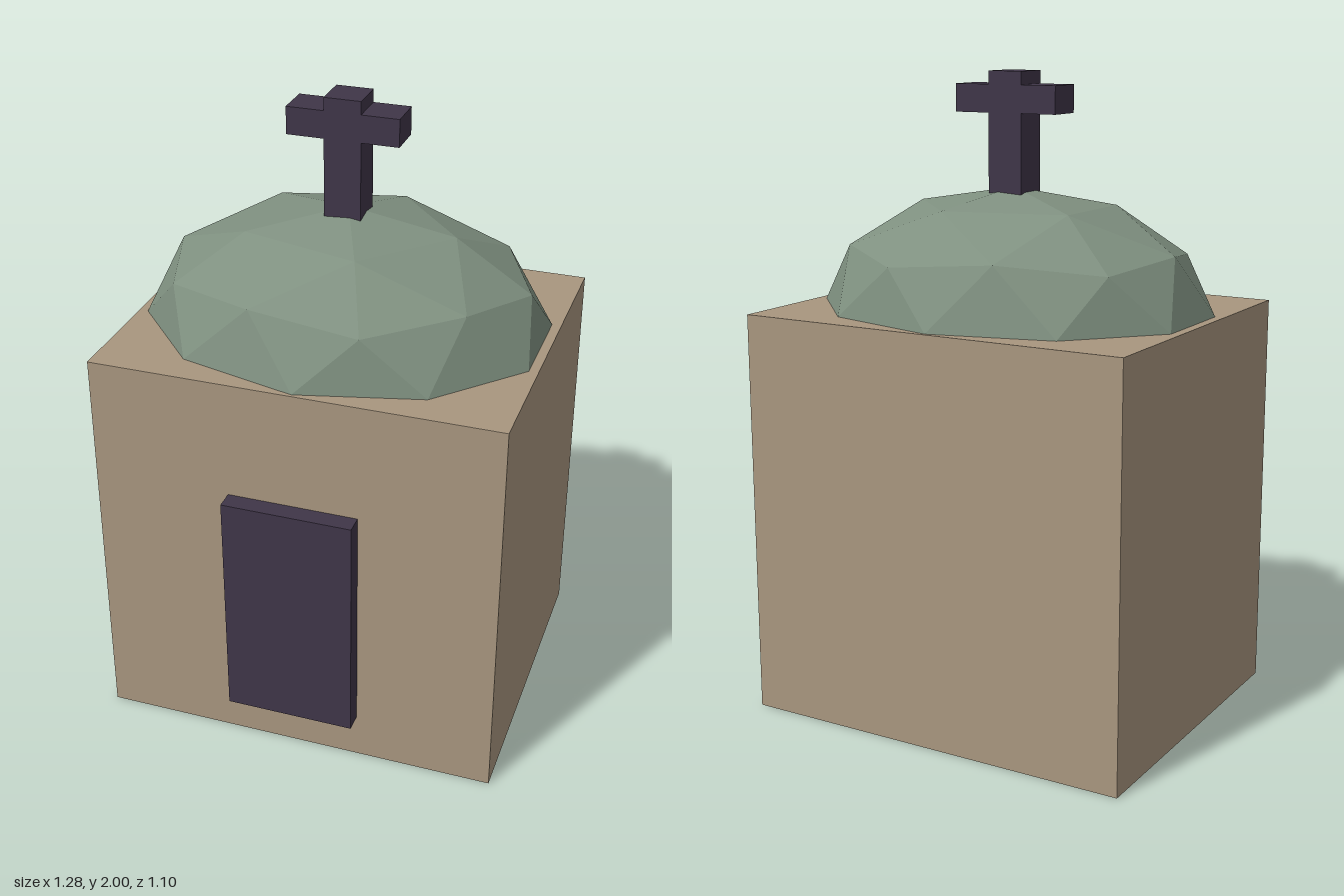
import * as THREE from 'three';

const stone = new THREE.MeshStandardMaterial({ color: 0xa8967f, flatShading: true });
const copper = new THREE.MeshStandardMaterial({ color: 0x7f9080, flatShading: true });
const dark = new THREE.MeshStandardMaterial({ color: 0x3f3548, flatShading: true });

const CENTER_Z = -0.03;
const WALL_TOP = 1.275;

function add(group, name, geometry, material, x, y, z) {
  const mesh = new THREE.Mesh(geometry, material);
  mesh.name = name;
  mesh.position.set(x, y, z);
  group.add(mesh);
  return mesh;
}

// Upper half of a faceted sphere with one vertex pointing straight up
function halfIcosphere(rx, ry, rz) {
  const sphere = new THREE.IcosahedronGeometry(1, 1);
  sphere.rotateZ(-Math.atan2(1, (1 + Math.sqrt(5)) / 2));
  const p = sphere.getAttribute('position');
  const kept = [];
  for (let i = 0; i < p.count; i += 3) {
    if (p.getY(i) + p.getY(i + 1) + p.getY(i + 2) < 0.01) continue;
    for (let j = i; j < i + 3; j++) kept.push(p.getX(j) * rx, p.getY(j) * ry, p.getZ(j) * rz);
  }
  const dome = new THREE.BufferGeometry();
  dome.setAttribute('position', new THREE.Float32BufferAttribute(kept, 3));
  dome.computeVertexNormals();
  return dome;
}

// Cross outline, origin at the foot of the post
function crossGeometry(depth) {
  const post = 0.057, arm = 0.173, low = 0.275, high = 0.36, top = 0.4;
  const right = [[post, 0], [post, low], [arm, low], [arm, high], [post, high], [post, top]];
  const left = right.map(([x, y]) => [-x, y]).reverse();
  const shape = new THREE.Shape([...right, ...left].map(([x, y]) => new THREE.Vector2(x, y)));
  return new THREE.ExtrudeGeometry(shape, { depth, bevelEnabled: false }).translate(0, 0, -depth / 2);
}

export function createModel() {
  const model = new THREE.Group();
  model.name = 'chapel';

  // Main block
  add(model, 'walls', new THREE.BoxGeometry(1.276, WALL_TOP, 1.04), stone, 0, WALL_TOP / 2, CENTER_Z);
  // Door slab, partly sunk into the front wall
  add(model, 'door', new THREE.BoxGeometry(0.408, 0.75, 0.12), dark, 0, 0.525, 0.49);
  // Faceted dome resting on the walls
  add(model, 'dome', halfIcosphere(0.64, 0.375, 0.51), copper, 0, WALL_TOP, CENTER_Z);
  // Cross with its foot sunk into the dome
  add(model, 'cross', crossGeometry(0.116), dark, 0, 1.6, CENTER_Z);

  return model;
}
